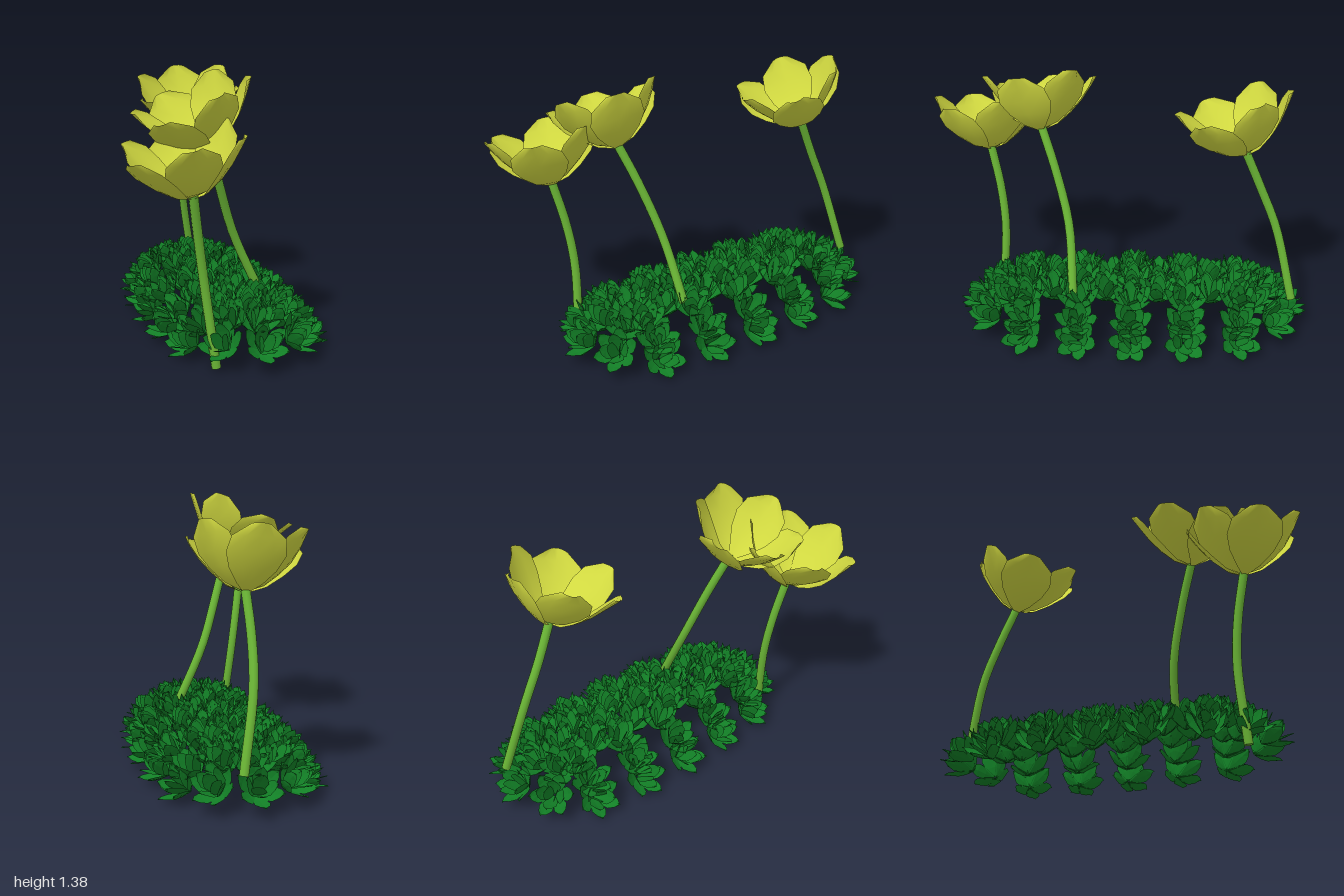
import * as THREE from 'three';
import { mergeGeometries } from 'three/addons/utils/BufferGeometryUtils.js';

const UP = new THREE.Vector3(0, 1, 0);
const petalMat = new THREE.MeshStandardMaterial({ color: 0xd0d840, side: THREE.DoubleSide });
const stemMat = new THREE.MeshStandardMaterial({ color: 0x6ab535 });
const leafMat = new THREE.MeshStandardMaterial({ color: 0x128026, side: THREE.DoubleSide, flatShading: true });

// Curved blade: rows of [radius, height, halfWidth], sides pulled inward by cup
function blade(rows, across, cup) {
  const g = new THREE.PlaneGeometry(1, 1, across, rows.length - 1);
  const p = g.attributes.position;
  for (let i = 0; i < p.count; i++) {
    const u = p.getX(i) * 2;
    const [r, h, w] = rows[Math.round((p.getY(i) + 0.5) * (rows.length - 1))];
    p.setXYZ(i, u * w, h, r - cup * u * u * Math.min(1, r * 6));
  }
  g.computeVertexNormals();
  return g;
}

const petalGeo = blade([
  [0.008, -0.005, 0.012], [0.09, 0.025, 0.06], [0.16, 0.08, 0.11],
  [0.218, 0.14, 0.138], [0.268, 0.205, 0.125], [0.308, 0.258, 0.045],
], 4, 0.028);

// Cup of six petals in two alternating layers
function makeHead(phase) {
  const head = new THREE.Group();
  head.name = 'flowerHead';
  for (let i = 0; i < 6; i++) {
    const petal = new THREE.Mesh(petalGeo, petalMat);
    petal.name = 'petal';
    petal.rotation.y = Math.PI / 2 - THREE.MathUtils.degToRad(phase + i * 60);
    if (i % 2) {
      petal.scale.set(0.97, 1.08, 0.94);
      petal.position.y = 0.008;
    }
    head.add(petal);
  }
  return head;
}

// Bent stem with closed ends, carrying a tilted head
function makeFlower({ path, axis, phase }) {
  const flower = new THREE.Group();
  flower.name = 'flower';
  const pts = path.map((p) => new THREE.Vector3(...p));
  const curve = new THREE.CatmullRomCurve3(pts);
  const stem = new THREE.Mesh(new THREE.TubeGeometry(curve, 12, 0.023, 10), stemMat);
  stem.name = 'stem';
  flower.add(stem);
  for (const t of [0, 1]) {
    const cap = new THREE.Mesh(new THREE.CircleGeometry(0.023, 10), stemMat);
    cap.name = 'stemEnd';
    cap.position.copy(curve.getPoint(t));
    const dir = curve.getTangent(t).multiplyScalar(t ? 1 : -1);
    cap.quaternion.setFromUnitVectors(new THREE.Vector3(0, 0, 1), dir);
    flower.add(cap);
  }
  const head = makeHead(phase);
  head.position.copy(pts[pts.length - 1]);
  head.position.y -= 0.02;
  head.quaternion.setFromUnitVectors(UP, new THREE.Vector3(...axis).normalize());
  flower.add(head);
  return flower;
}

// Rosette: three rings of pointed, folded leaves
function makeRosetteGeometry() {
  const leaves = [];
  const rings = [
    { n: 6, lean: 0.85, len: 0.165, twist: 0 },
    { n: 4, lean: 0.5, len: 0.165, twist: 0.5 },
    { n: 2, lean: 0.2, len: 0.16, twist: 0.2 },
  ];
  for (const { n, lean, len, twist } of rings) {
    const rows = [[0, 0.008], [0.33, 0.029], [0.62, 0.037], [0.86, 0.023], [1, 0.001]].map(([t, w]) => {
      const a = lean * (1.1 - 0.2 * t);
      return [Math.sin(a) * t * len + 0.004, Math.cos(a) * t * len, w];
    });
    for (let i = 0; i < n; i++) {
      leaves.push(blade(rows, 2, 0.01).rotateY(((i + twist) / n) * Math.PI * 2));
    }
  }
  return mergeGeometries(leaves);
}

// Arched bed of rosettes, rounded off at both ends
function makeFoliage() {
  const bed = new THREE.Group();
  bed.name = 'foliage';
  const geo = makeRosetteGeometry();
  const addRosette = (x, y, z, dir, spin) => {
    const rosette = new THREE.Mesh(geo, leafMat);
    rosette.name = 'leafRosette';
    rosette.position.set(x, y, z);
    rosette.quaternion.setFromUnitVectors(UP, dir.normalize());
    rosette.rotateY(spin);
    bed.add(rosette);
  };
  const midZ = -0.04, step = 0.272;
  // Arched rows
  for (let k = -2; k <= 2; k++) {
    const z = midZ - 0.025 + k * step;
    const rx = 0.305 - 0.012 * k * k;
    for (let j = 0; j < 7; j++) {
      const a = Math.PI * (0.02 + (0.96 * j) / 6);
      const c = Math.cos(a), s = Math.sin(a);
      addRosette(0.1 + rx * c, 0.04 + 0.135 * s, z, new THREE.Vector3(c, 0.75 + s, k * 0.12), j * 1.3 + k * 0.7);
    }
    // Fill along the ridge between rows
    if (k < 2) {
      for (const x of [0.02, 0.18]) {
        addRosette(x, 0.165, z + step / 2, new THREE.Vector3(x - 0.1, 0.5, 0), k + x * 9);
      }
    }
  }
  // Rounded ends: a lower and an upper fan
  for (const side of [-1, 1]) {
    const z = midZ - 0.025 + side * 2 * step;
    for (const [r, y, rise, angles] of [[0.22, 0.085, 0.85, [-0.75, 0, 0.75]], [0.12, 0.15, 1.8, [-0.9, 0, 0.9]]]) {
      for (const a of angles) {
        const dx = Math.sin(a), dz = side * Math.cos(a);
        addRosette(0.1 + r * dx, y, z + r * dz, new THREE.Vector3(dx, rise, dz), a + side);
      }
    }
  }
  return bed;
}

export function createModel() {
  const model = new THREE.Group();
  model.name = 'flowerBed';
  model.add(makeFoliage());
  const flowers = [
    {
      path: [[-0.115, 0.008, 0.672], [-0.165, 0.4, 0.645], [-0.2, 0.63, 0.665], [-0.24, 0.87, 0.715]],
      axis: [-0.22, 1, 0.06], phase: 34,
    },
    {
      path: [[0.24, 0.24, 0.245], [0.09, 0.56, 0.27], [-0.01, 0.84, 0.345], [-0.085, 1.05, 0.42]],
      axis: [-0.4, 1, 0.08], phase: 15,
    },
    {
      path: [[0.175, 0.2, -0.9], [0.105, 0.58, -0.805], [0.09, 0.8, -0.715], [0.095, 1.01, -0.625]],
      axis: [-0.13, 1, 0.3], phase: 33,
    },
  ];
  flowers.forEach((f) => model.add(makeFlower(f)));
  return model;
}
